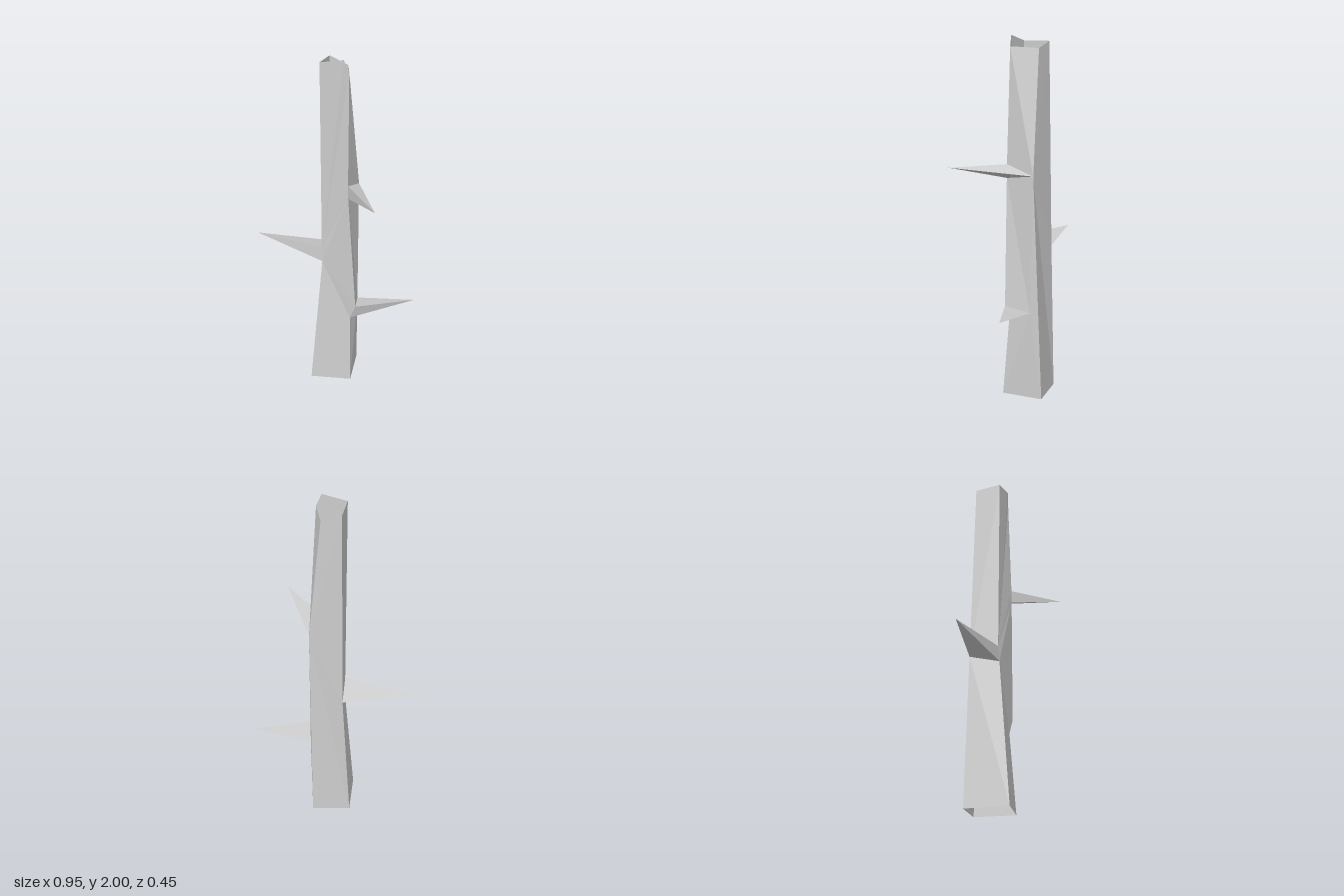
import * as THREE from 'three';

// Corner columns of the hollow four-sided trunk, bottom to top
const P = {
  // front left
  fl0: [-0.085, 0, 0.065], fl1: [-0.04, 0.805, -0.012], fl2: [-0.045, 0.895, -0.018], fl3: [-0.05, 1.975, -0.01],
  // front right, ending in a splintered peak
  fr0: [0.15, 0, 0.005], fr1: [0.13, 0.44, -0.025], fr2: [0.165, 0.53, -0.02],
  fr3: [0.117, 1.24, -0.003], fr4: [0.115, 1.315, -0.003], fr5: [0.107, 1.94, -0.02], peak: [0.08, 2, -0.01],
  // back right
  br0: [0.11, 0, -0.225], br1: [0.12, 1.26, -0.173], br2: [0.05, 1.93, -0.163],
  // back left
  bl0: [-0.11, 0, -0.18], bl1: [-0.065, 0.85, -0.183], bl2: [-0.055, 1.97, -0.165],
  // point inside the right wall where the low branch starts
  knot: [0.13, 0.5, -0.16],
  // branch tips
  tipLow: [0.475, 0.55, -0.187], tipMid: [-0.475, 0.88, -0.066], tipHigh: [0.342, 1.305, 0.225],
};

const material = new THREE.MeshStandardMaterial({ color: 0xcccccc, flatShading: true, side: THREE.DoubleSide });

// Mesh from triangle fans: the first name is the hub, the rest its rim
function fanMesh(name, fans) {
  const positions = [];
  for (const fan of fans) {
    const [hub, ...rim] = fan.split(' ');
    for (let i = 0; i + 1 < rim.length; i++) positions.push(...P[hub], ...P[rim[i]], ...P[rim[i + 1]]);
  }
  const geometry = new THREE.BufferGeometry();
  geometry.setAttribute('position', new THREE.Float32BufferAttribute(positions, 3));
  geometry.computeVertexNormals();
  const mesh = new THREE.Mesh(geometry, material);
  mesh.name = name;
  return mesh;
}

export function createModel() {
  const group = new THREE.Group();
  group.name = 'deadTree';

  // Trunk walls, open at both ends and where the branches grow out
  group.add(
    fanMesh('trunkFront', ['fl1 fl0 fr0 fr1 fr2', 'fl1 fr2 fr3 fl2', 'fl2 fr3 fr4 fr5 peak fl3']),
    fanMesh('trunkRightSide', ['knot fr1 fr0 br0 br1 fr3 fr2', 'br1 br2 fr5 fr4']),
    fanMesh('trunkBack', ['br1 br0 bl0 bl1 bl2 br2']),
    fanMesh('trunkLeftSide', ['bl1 bl0 fl0 fl1', 'bl1 fl2 fl3 bl2']),
  );

  // Three-sided pointed branches
  group.add(
    fanMesh('lowBranch', ['tipLow fr1 knot fr2 fr1']),
    fanMesh('middleBranch', ['tipMid fl1 fl2 bl1 fl1']),
    fanMesh('highBranch', ['tipHigh fr3 br1 fr4 fr3']),
  );
  return group;
}
